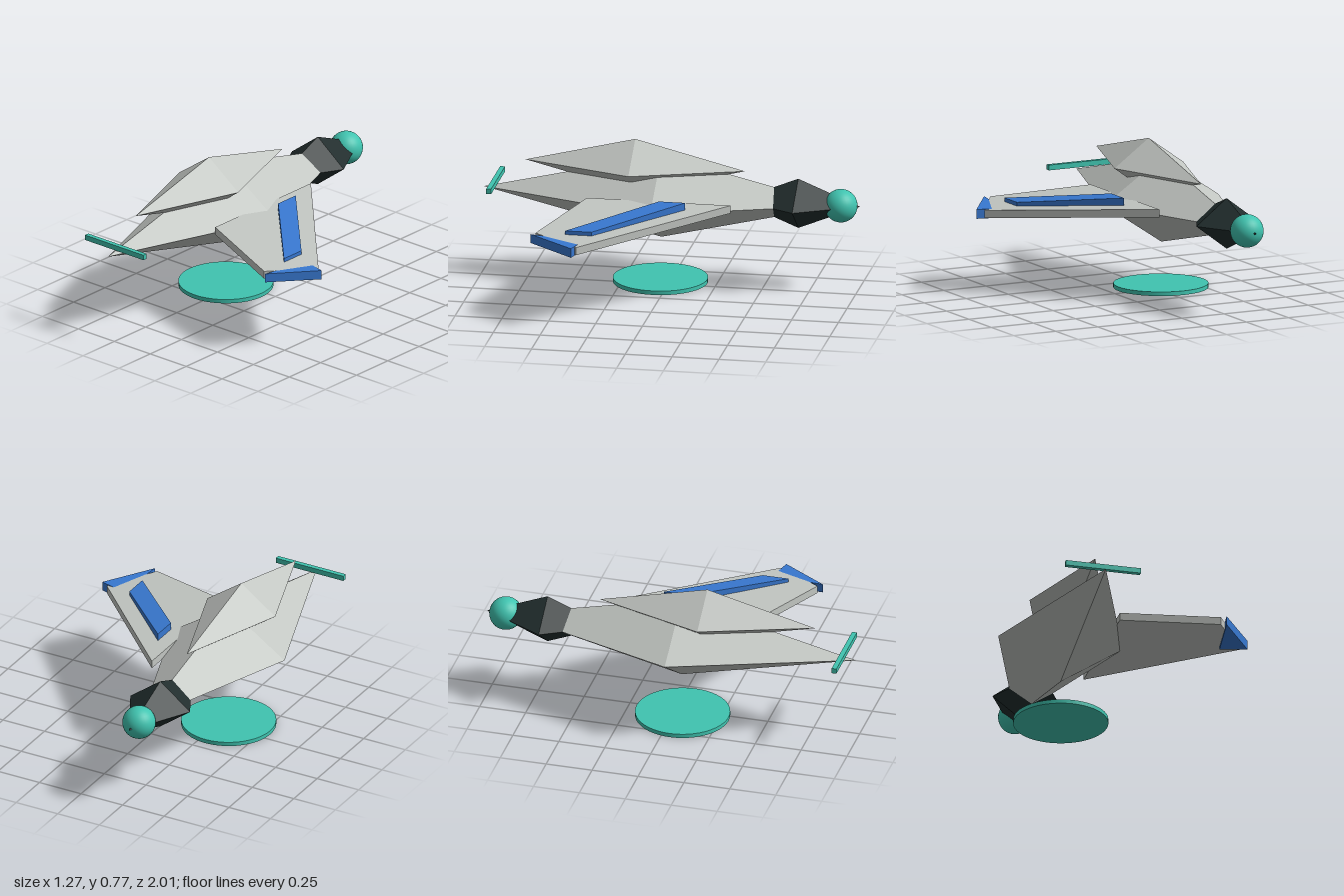
import * as THREE from 'three';

const flat = (name, color) => {
  const m = new THREE.MeshStandardMaterial({ color, flatShading: true });
  m.name = name;
  return m;
};

// Closed plate from corners [x, z, bottomY, topY], counter-clockwise from above
function plate(corners) {
  const n = corners.length;
  const pos = [];
  const b = (i) => [corners[i % n][0], corners[i % n][2], corners[i % n][1]];
  const t = (i) => [corners[i % n][0], corners[i % n][3], corners[i % n][1]];
  const tri = (...pts) => pts.forEach((p) => pos.push(...p));
  for (let i = 1; i < n - 1; i++) {
    tri(t(0), t(i), t(i + 1));
    tri(b(0), b(i + 1), b(i));
  }
  for (let i = 0; i < n; i++) {
    tri(b(i), b(i + 1), t(i + 1));
    tri(b(i), t(i + 1), t(i));
  }
  const g = new THREE.BufferGeometry();
  g.setAttribute('position', new THREE.Float32BufferAttribute(pos, 3));
  g.computeVertexNormals();
  return g;
}

export function createModel() {
  const group = new THREE.Group();
  const grey = flat('hullGrey', 0xc2c6c2);
  const dark = flat('engineDark', 0x222e2e);
  const blue = flat('trimBlue', 0x3878d0);
  const teal = new THREE.MeshStandardMaterial({ color: 0x40c4b0 });
  teal.name = 'glowTeal';

  const cx = -0.3;   // body axis
  const cy = 0.468;

  const add = (name, geometry, material, x = 0, y = 0, z = 0) => {
    const mesh = new THREE.Mesh(geometry, material);
    mesh.name = name;
    mesh.position.set(x, y, z);
    group.add(mesh);
    return mesh;
  };
  const diamond = (rx, ry, rz) => new THREE.OctahedronGeometry(1, 0).scale(rx, ry, rz);

  // Body: stretched four-sided diamonds
  add('hull', diamond(0.338, 0.225, 0.948), grey, cx, cy, 0.045);
  add('upperHull', diamond(0.204, 0.145, 0.585), grey, cx, 0.628, 0.185);
  add('engine', diamond(0.18, 0.135, 0.33), dark, cx, cy, -0.685);
  add('engineGlow', new THREE.SphereGeometry(0.088, 32, 20), teal, cx, cy, -0.912);

  // Nose bar and the disc below
  add('noseBar', new THREE.BoxGeometry(0.406, 0.028, 0.026), teal, cx, 0.504, 0.93);
  add('baseDisc', new THREE.CylinderGeometry(0.25, 0.25, 0.022, 48), teal, cx, 0.011, 0.05);

  // Single swept wing, drooping outwards
  const wingCorner = (x, z) => {
    const top = 0.508 - 0.099 * (x + 0.07);
    return [x, z, top - 0.042, top];
  };
  add('wing', plate([
    wingCorner(-0.07, -0.365), wingCorner(-0.07, 0.4),
    wingCorner(0.43, 0.583), wingCorner(0.595, 0.338),
  ]), grey);

  // Raised stripe and wedge-shaped tip
  add('wingStripe', plate([
    [0.02, -0.14, 0.497, 0.538], [0.02, 0, 0.497, 0.538],
    [0.43, 0.425, 0.45, 0.479], [0.43, 0.285, 0.45, 0.479],
  ]), blue);
  add('wingTip', plate([
    [0.49, 0.32, 0.397, 0.446], [0.455, 0.605, 0.41, 0.458], [0.633, 0.357, 0.397, 0.447],
  ]), blue);

  return group;
}
